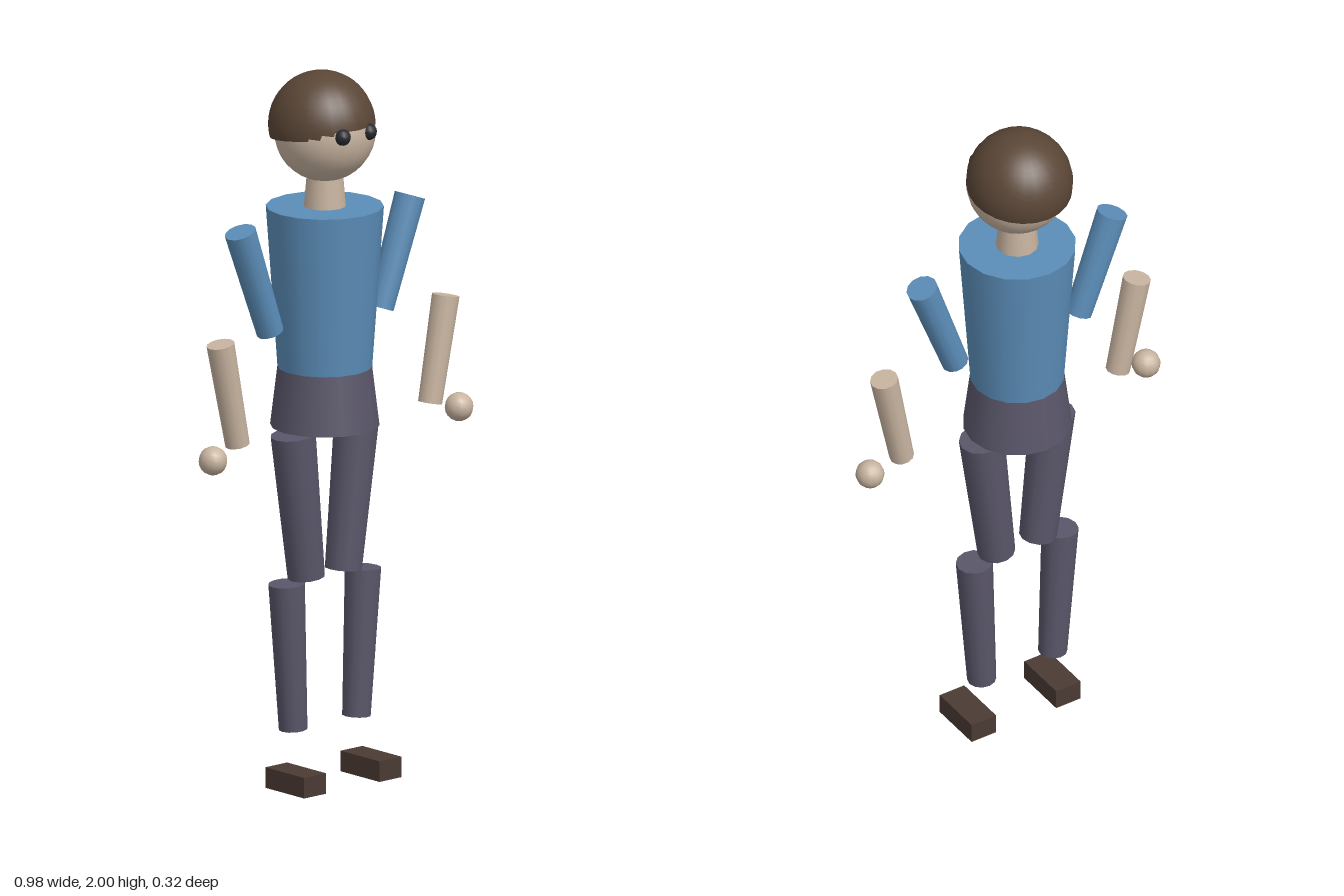
import * as THREE from 'three';

const material = (color, extra = {}) => new THREE.MeshStandardMaterial({ color, ...extra });

export function createModel() {
  const model = new THREE.Group();
  model.name = 'figure';

  const skin = material(0xc8b4a0);
  const shirt = material(0x5b8db8);
  const trousers = material(0x5a566a);
  const hairColor = material(0x5a4636, { side: THREE.DoubleSide });
  const leather = material(0x4a3a34);
  const dark = material(0x26282c);

  const add = (name, geometry, mat, x, y, z) => {
    const mesh = new THREE.Mesh(geometry, mat);
    mesh.name = name;
    mesh.position.set(x, y, z);
    model.add(mesh);
    return mesh;
  };

  // Tapered cylinder running from a top point to a bottom point
  const limb = (name, top, bottom, rTop, rBottom, mat, sides = 12) => {
    const a = new THREE.Vector3(...top);
    const b = new THREE.Vector3(...bottom);
    const mid = a.clone().add(b).multiplyScalar(0.5);
    const geometry = new THREE.CylinderGeometry(rTop, rBottom, a.distanceTo(b), sides);
    const mesh = add(name, geometry, mat, mid.x, mid.y, mid.z);
    mesh.quaternion.setFromUnitVectors(new THREE.Vector3(0, 1, 0), a.sub(b).normalize());
    return mesh;
  };

  // Trunk and neck
  limb('torso', [0, 1.623, 0], [0, 1.17, 0], 0.162, 0.13, shirt, 16);
  limb('hips', [0, 1.17, 0], [0, 1.005, 0], 0.13, 0.15, trousers, 16);
  limb('neck', [0, 1.72, 0], [0, 1.61, 0], 0.05, 0.06, skin);

  // Head with a cap of hair tipped backwards
  add('head', new THREE.SphereGeometry(0.14, 24, 18), skin, 0, 1.835, 0);
  const hair = add('hair',
    new THREE.SphereGeometry(0.15, 24, 14, 0, Math.PI * 2, 0, Math.PI * 0.55),
    hairColor, 0, 1.85, -0.012);
  hair.scale.x = 0.97;
  hair.rotation.x = -0.12;

  // Paired parts, mirrored across x
  for (const [side, s] of [['left', 1], ['right', -1]]) {
    add(`${side}Eye`, new THREE.SphereGeometry(0.023, 12, 8), dark, s * 0.048, 1.847, 0.127);

    limb(`${side}UpperArm`, [s * 0.311, 1.60, 0.001], [s * 0.202, 1.30, 0.002], 0.044, 0.038, shirt);
    limb(`${side}Forearm`, [s * 0.413, 1.307, 0.034], [s * 0.353, 1.014, 0.037], 0.039, 0.034, skin);
    add(`${side}Hand`, new THREE.SphereGeometry(0.04, 12, 10), skin, s * 0.451, 0.987, 0.046);

    limb(`${side}Thigh`, [s * 0.116, 0.996, 0], [s * 0.068, 0.587, 0], 0.063, 0.052, trousers);
    limb(`${side}Shin`, [s * 0.14, 0.579, 0], [s * 0.116, 0.165, 0], 0.051, 0.04, trousers);
    add(`${side}Shoe`, new THREE.BoxGeometry(0.08, 0.058, 0.16), leather, s * 0.138, 0.029, 0.035);
  }

  return model;
}
